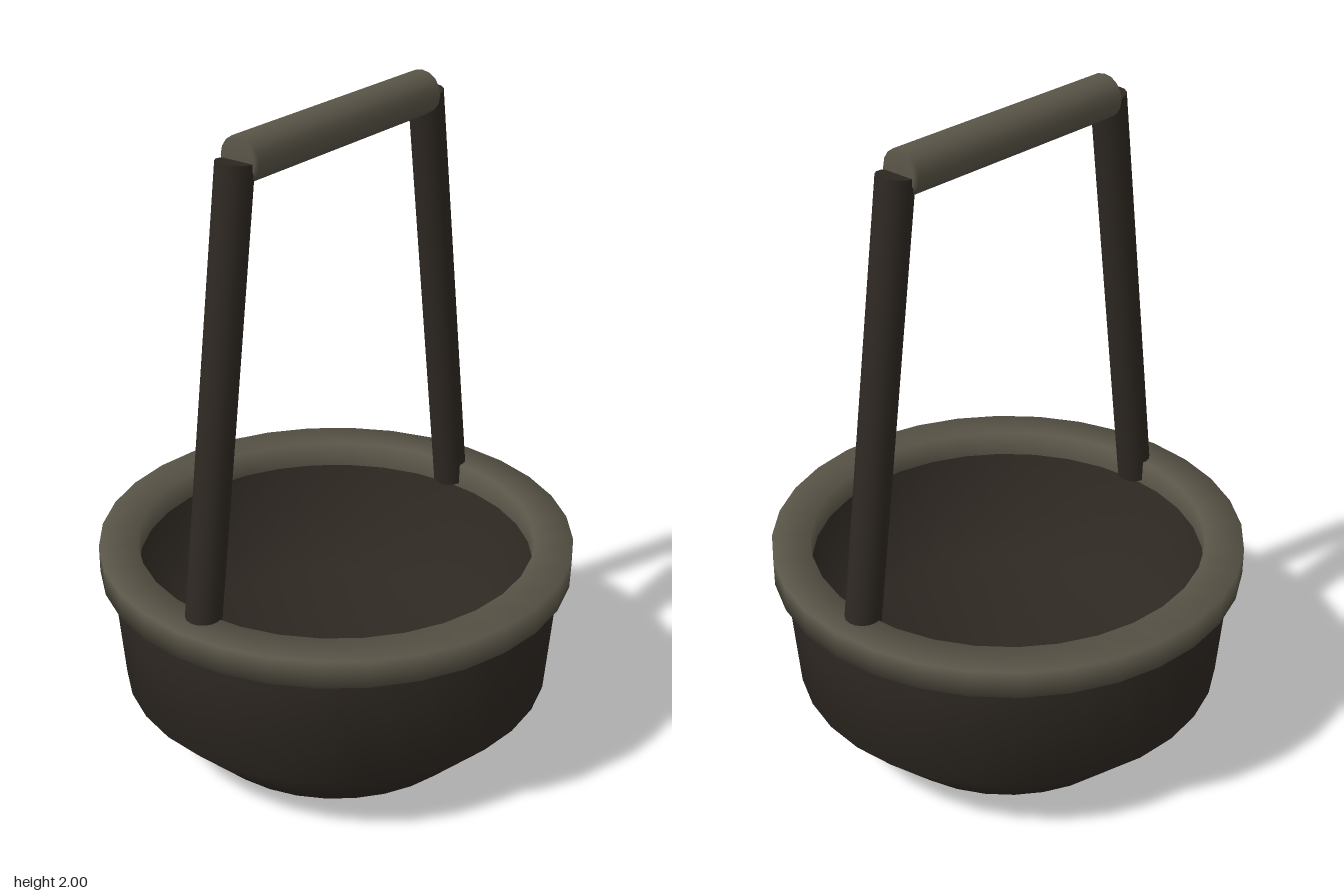
import * as THREE from 'three';

const dark = new THREE.MeshStandardMaterial({ color: 0x2e2822 });
const olive = new THREE.MeshStandardMaterial({ color: 0x5a5548 });

const profile = (pairs) => pairs.map(([r, y]) => new THREE.Vector2(r, y));

export function createModel() {
  const model = new THREE.Group();
  model.name = 'basket';

  const add = (name, geometry, material) => {
    const mesh = new THREE.Mesh(geometry, material);
    mesh.name = name;
    model.add(mesh);
    return mesh;
  };

  // Bowl: outside wall, then over the lip and down to the inner floor
  add('bowl', new THREE.LatheGeometry(profile([
    [0, 0], [0.45, 0], [0.655, 0.21], [0.687, 0.61],
    [0.605, 0.61], [0.54, 0.2], [0, 0.2],
  ]), 32), dark);

  // Rim: a ring of rectangular section, shaded softly
  add('rim', new THREE.LatheGeometry(profile([
    [0.6, 0.575], [0.717, 0.575], [0.717, 0.66], [0.6, 0.66], [0.6, 0.575],
  ]), 32), olive);

  // Handle posts: lean inwards from the rim to the grip
  const up = new THREE.Vector3(0, 1, 0);
  for (const side of [1, -1]) {
    const foot = new THREE.Vector3(side * 0.616, 0.595, 0);
    const head = new THREE.Vector3(side * 0.425, 1.935, 0);
    const axis = head.clone().sub(foot);
    const post = add(side > 0 ? 'leftPost' : 'rightPost',
      new THREE.CylinderGeometry(0.053, 0.053, axis.length(), 16), dark);
    post.position.copy(foot).add(head).multiplyScalar(0.5);
    post.quaternion.setFromUnitVectors(up, axis.normalize());
  }

  // Grip: a bar across the top with slightly bevelled ends
  const grip = add('grip', new THREE.LatheGeometry(profile([
    [0, -0.415], [0.055, -0.415], [0.065, -0.405],
    [0.065, 0.405], [0.055, 0.415], [0, 0.415],
  ]), 16), olive);
  grip.rotation.z = Math.PI / 2;
  grip.position.y = 1.935;

  return model;
}
